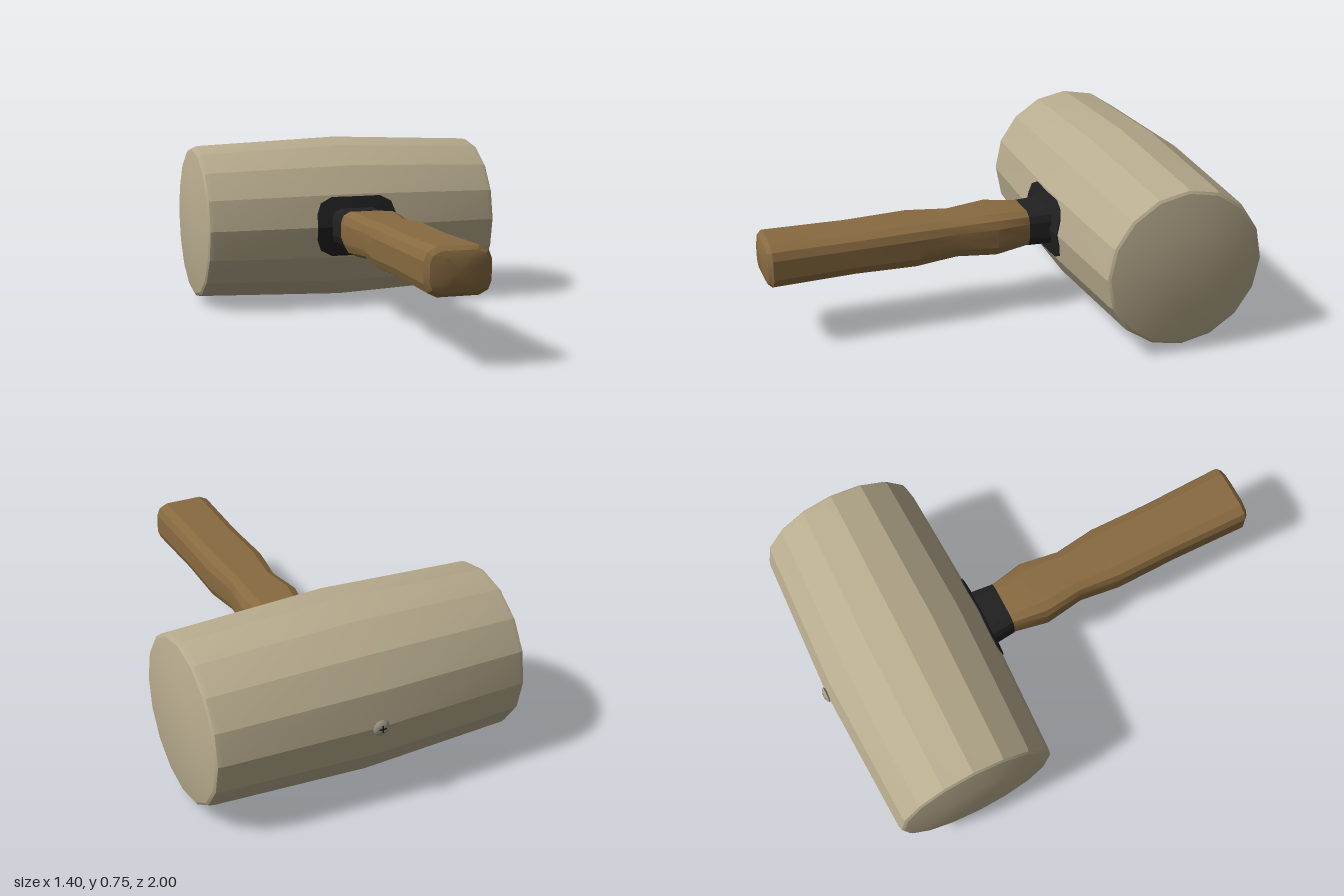
import * as THREE from 'three';
import { toCreasedNormals } from 'three/addons/utils/BufferGeometryUtils.js';

const CY = 0.379;          // height of the handle axis and head axis
const HEAD_Z = -0.612;     // head centre
const HEAD_R = 0.373;      // head radius at its middle
const CREASE = 0.35;

// Softened rectangle outline, one quarter mirrored around both axes
const quarter = [[1, 0], [1, 0.44], [0.9, 0.8], [0.62, 1], [0, 1]];
const section = [];
for (const [sx, sy, flip] of [[1, 1, false], [-1, 1, true], [-1, -1, false], [1, -1, true]]) {
  const q = flip ? [...quarter].reverse() : quarter;
  q.slice(0, -1).forEach(([x, y]) => section.push([x * sx, y * sy]));
}

// Skin over rings [z, halfWidth, halfHeight] listed from back to front
function loft(rings, bend = () => 0) {
  const n = section.length, pos = [];
  const point = ([z, w, h], j) => {
    const x = section[j % n][0] * w, y = section[j % n][1] * h;
    return [x, y, z + bend(x, y)];
  };
  for (let i = 0; i < rings.length - 1; i++) {
    for (let j = 0; j < n; j++) {
      const a = point(rings[i], j), b = point(rings[i], j + 1);
      const c = point(rings[i + 1], j + 1), d = point(rings[i + 1], j);
      pos.push(...a, ...b, ...c, ...a, ...c, ...d);
    }
  }
  const geo = new THREE.BufferGeometry();
  geo.setAttribute('position', new THREE.Float32BufferAttribute(pos, 3));
  return toCreasedNormals(geo, CREASE);
}

function lathe(points, sides) {
  return new THREE.LatheGeometry(points.map(([r, y]) => new THREE.Vector2(r, y)), sides);
}

export function createModel() {
  const group = new THREE.Group();
  const mat = (name, color) => Object.assign(new THREE.MeshStandardMaterial({ color }), { name });
  const rubber = mat('tan rubber', 0xb8ac8e);
  const wood = mat('brown wood', 0x886a40);
  const black = mat('black rubber', 0x212121);
  const steel = mat('dull steel', 0xa39d88);

  const add = (name, geo, material, x = 0, y = CY, z = 0) => {
    const mesh = new THREE.Mesh(geo, material);
    mesh.name = name;
    mesh.position.set(x, y, z);
    group.add(mesh);
    return mesh;
  };

  // Barrel head with chamfered, slightly domed ends
  const half = [[0, 0.7], [0.185, 0.698], [0.331, 0.671], [0.342, 0.664], [0.347, 0.645]];
  const profile = [
    ...half.map(([r, y]) => [r, -y]),
    [HEAD_R, 0],
    ...[...half].reverse(),
  ];
  const head = lathe(profile, 16).rotateZ(-Math.PI / 2);
  add('head', toCreasedNormals(head, CREASE), rubber, 0, CY, HEAD_Z);

  // Wooden grip, waisted near the front hand position
  add('handle', loft([
    [-0.15, 0.106, 0.080],
    [0.0, 0.134, 0.095],
    [0.17, 0.110, 0.084],
    [0.35, 0.132, 0.096],
    [0.62, 0.129, 0.090],
    [0.97, 0.136, 0.095],
    [0.988, 0.118, 0.080],
    [0.998, 0.078, 0.055],
    [1.0, 0, 0],
  ]), wood);

  // Black sleeve between grip and head
  add('sleeve', loft([
    [-0.30, 0.122, 0.084],
    [-0.25, 0.118, 0.082],
    [-0.15, 0.108, 0.081],
    [-0.148, 0.09, 0.07],
  ]), black);

  // Thin flange folded over the two front facets of the head
  const fold = (x, y) => -Math.abs(y) * Math.tan(Math.PI / 16) - Math.abs(x) * 0.04;
  const front = HEAD_Z + HEAD_R;
  add('flange', loft([
    [front - 0.01, 0.183, 0.133],
    [front + 0.005, 0.183, 0.133],
    [front + 0.007, 0.1, 0.07],
  ], fold), black);

  // Screw in the back of the head
  const back = HEAD_Z - HEAD_R;
  const screw = lathe([[0.02, -0.01], [0.036, 0.002], [0.028, 0.01], [0.014, 0.0145], [0, 0.015]], 12)
    .rotateX(-Math.PI / 2);
  add('screw', toCreasedNormals(screw, 0.6), steel, 0, CY, back);
  for (const turn of [0, Math.PI / 2]) {
    const slot = add('screwSlot', new THREE.BoxGeometry(0.03, 0.006, 0.006), black, 0, CY, back - 0.0125);
    slot.rotation.z = turn;
  }

  return group;
}
